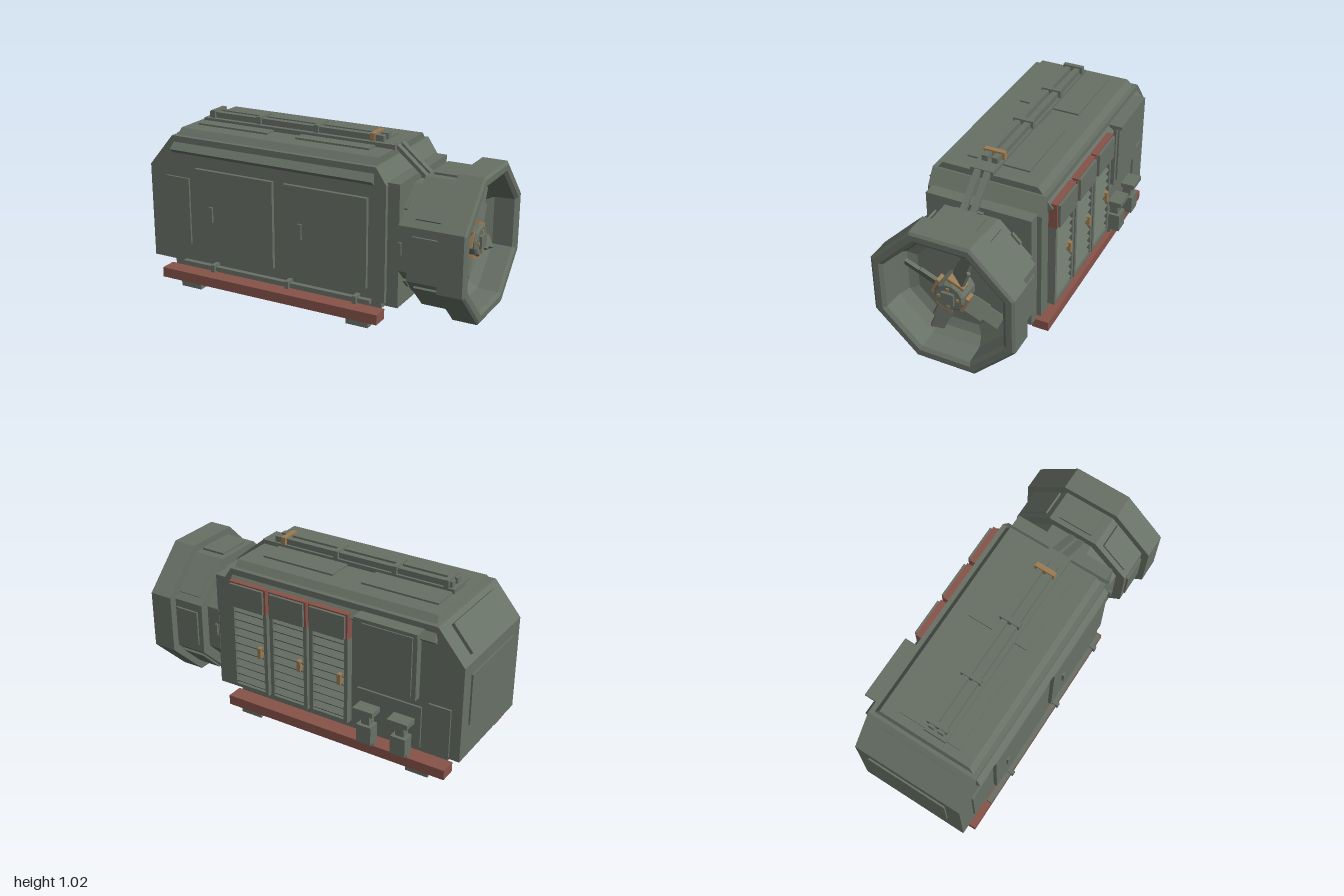
import * as THREE from 'three';

const paint = (name, color) => {
  const m = new THREE.MeshStandardMaterial({ color });
  m.name = name;
  return m;
};

export function createModel() {
  const model = new THREE.Group();
  model.name = 'generator';
  const grey = paint('greyGreenPaint', 0x687166);
  const red = paint('rustRedPaint', 0x87534a);
  const tan = paint('tanFittings', 0x9a7b52);
  const CZ = 0.012; // middle plane of the housing

  const add = (name, geo, mat = grey, parent = model) => {
    const m = new THREE.Mesh(geo, mat);
    m.name = name;
    parent.add(m);
    return m;
  };
  // box given by its limits on each axis
  const box = (name, x0, x1, y0, y1, z0, z1, mat = grey, parent = model) => {
    const m = add(name, new THREE.BoxGeometry(x1 - x0, y1 - y0, z1 - z0), mat, parent);
    m.position.set((x0 + x1) / 2, (y0 + y1) / 2, (z0 + z1) / 2);
    return m;
  };
  const extrude = (pts, depth) => new THREE.ExtrudeGeometry(
    new THREE.Shape(pts.map(p => new THREE.Vector2(...p))), { depth, bevelEnabled: false });

  // housing: side profile with a sloped left end
  add('housing', extrude([[-0.99, 0.167], [0.52, 0.167], [0.52, 0.83], [0.46, 0.92],
    [-0.83, 0.92], [-0.99, 0.73]], 0.666)).position.z = CZ - 0.333;

  // roof: cross-section with sloped sides and tucked-in eaves
  const roofGeo = extrude([[-0.333, 0.82], [0.333, 0.82], [0.363, 0.845], [0.278, 0.957],
    [-0.278, 0.957], [-0.363, 0.845]], 1.28);
  roofGeo.rotateY(Math.PI / 2);
  const rp = roofGeo.attributes.position;
  for (let i = 0; i < rp.count; i++) {
    const x = rp.getX(i) - 0.83;
    rp.setX(i, x < -0.8 && rp.getY(i) > 0.9 ? x + 0.03 : x);
  }
  roofGeo.computeVertexNormals();
  add('roof', roofGeo).position.z = CZ;
  for (const [a, b] of [[-0.75, -0.29], [-0.11, 0.345]])
    box('roofPanel', a, b, 0.95, 0.967, -0.17, 0.195);

  // conduit tray, pipes and clamps on the roof
  box('conduitTray', -0.76, 0.46, 0.955, 0.982, -0.015, 0.12);
  for (const z of [0.017, 0.075]) {
    box('roofPipe', -0.74, 0.38, 0.982, 1.015, z - 0.018, z + 0.018);
    const strap = add('cableDrop', new THREE.BoxGeometry(0.28, 0.02, 0.036));
    strap.position.set(0.555, 0.885, z);
    strap.rotation.z = -0.7;
  }
  for (const x of [-0.71, -0.4, -0.03, 0.317])
    box('pipeClamp', x - 0.014, x + 0.014, 0.98, 1.025, -0.017, 0.105, x > 0.3 ? tan : grey);

  // left end panels
  box('endPanel', -1, -0.98, 0.36, 0.66, -0.24, 0.25);
  const slope = add('slopePanel', new THREE.BoxGeometry(0.18, 0.03, 0.46));
  slope.position.set(-0.912, 0.83, CZ);
  slope.rotation.z = Math.atan2(0.19, 0.16);

  // front doors with handles
  box('sidePanel', -0.88, -0.72, 0.28, 0.68, 0.34, 0.357);
  for (const [a, b, h] of [[-0.67, -0.16, -0.562], [-0.09, 0.42, 0.017]]) {
    box('door', a, b, 0.24, 0.75, 0.34, 0.367);
    box('doorHandle', h - 0.011, h + 0.011, 0.45, 0.54, 0.36, 0.38);
  }

  // low pipe along the front
  box('frontPipe', -0.76, 0.45, 0.16, 0.185, 0.355, 0.385);
  for (const x of [-0.545, -0.055, 0.365])
    box('pipeBracket', x - 0.012, x + 0.012, 0.155, 0.198, 0.34, 0.4);

  // base: skirt, rails, cross beams and feet
  box('skirt', -0.89, 0.47, 0.1, 0.17, -0.25, 0.28);
  for (const [a, b] of [[-0.89, -0.21], [-0.19, 0.47]])
    box('bellyPanel', a + 0.08, b - 0.08, 0.094, 0.105, -0.2, 0.22);
  for (const s of [-1, 1]) {
    const inner = CZ + s * 0.266, outer = CZ + s * 0.363;
    box('rail', -0.92, 0.49, 0.045, 0.104, Math.min(inner, outer), Math.max(inner, outer), red);
    for (const x of [-0.74, 0.355])
      box('foot', x - 0.068, x + 0.068, 0, 0.06, CZ + s * 0.28 - 0.053, CZ + s * 0.28 + 0.053);
  }
  for (const x of [-0.74, 0.355]) box('crossBeam', x - 0.045, x + 0.045, 0.035, 0.075, -0.25, 0.28);

  // rear louvre bays with red hoods
  for (const x of [-0.207, 0.053, 0.317]) {
    const a = x - 0.122, b = x + 0.122;
    box('louvreHood', a, b, 0.72, 0.87, -0.37, -0.3, red);
    box('hoodFace', a + 0.012, b - 0.012, 0.725, 0.862, -0.385, -0.36);
    box('louvreBacking', a, b, 0.21, 0.72, -0.328, -0.31);
    box('louvrePost', a, a + 0.022, 0.21, 0.72, -0.365, -0.31);
    box('louvrePost', b - 0.022, b, 0.21, 0.72, -0.365, -0.31);
    box('louvreSill', a, b, 0.2, 0.22, -0.365, -0.31);
    for (let i = 0; i < 10; i++) {
      const slat = box('louvreSlat', a + 0.02, b - 0.02, 0.242 + i * 0.05, 0.254 + i * 0.05, -0.365, -0.315);
      slat.rotation.x = -0.6;
    }
    box('louvreLatch', a + 0.04, a + 0.062, 0.435, 0.5, -0.375, -0.33, tan);
  }

  // rear cabinet, lower panels and valves
  box('rearCabinet', -0.74, -0.39, 0.48, 0.87, -0.365, -0.31);
  box('cabinetCover', -0.715, -0.415, 0.505, 0.85, -0.375, -0.35);
  box('cabinetCap', -0.755, -0.38, 0.87, 0.89, -0.4, -0.31);
  box('valvePanel', -0.76, -0.37, 0.18, 0.43, -0.333, -0.31);
  box('cornerPanel', -0.93, -0.8, 0.18, 0.47, -0.333, -0.31);
  for (const x of [-0.455, -0.665]) {
    box('valvePipe', x - 0.03, x + 0.03, 0.1, 0.19, -0.345, -0.31);
    box('valveBody', x - 0.045, x + 0.045, 0.14, 0.25, -0.405, -0.33);
    box('valveStem', x - 0.025, x + 0.025, 0.24, 0.33, -0.385, -0.335);
    box('valveWheel', x - 0.062, x + 0.062, 0.325, 0.355, -0.418, -0.335);
  }

  // adapter plate between the housing and the fan
  box('adapterPlate', 0.51, 0.587, 0.145, 0.84, -0.295, 0.32);

  // fan unit, built around its own axis
  const fan = new THREE.Group();
  fan.name = 'fanUnit';
  fan.position.set(0, 0.49, CZ);
  model.add(fan);
  // faceted turned shape along x from [distance to flat side, x] pairs
  const turned = (pts, sides) => {
    const k = 1 / Math.cos(Math.PI / sides);
    const g = new THREE.LatheGeometry(pts.map(([r, x]) => new THREE.Vector2(r * k, x)),
      sides, Math.PI / sides).rotateZ(-Math.PI / 2).toNonIndexed();
    g.computeVertexNormals();
    return g;
  };
  add('cowling', turned([[0, 0.58], [0.31, 0.58], [0.31, 0.66], [0.365, 0.66], [0.365, 0.85],
    [0.41, 0.85], [0.41, 0.99], [0.395, 1], [0.362, 1], [0.342, 0.985], [0.335, 0.87],
    [0.3, 0.82], [0.25, 0.8], [0, 0.8]], 8), grey, fan);
  for (let i = 0; i < 8; i++) {
    const side = new THREE.Group();
    side.name = 'cowlingSide';
    side.rotation.x = i * Math.PI / 4;
    fan.add(side);
    box('cowlingPanel', 0.69, 0.84, 0.355, 0.377, -0.105, 0.105, grey, side);
    box('neckLug', 0.587, 0.605, 0.3, 0.325, -0.035, 0.035, grey, side);
  }
  add('hub', turned([[0, 0.79], [0.085, 0.79], [0.085, 0.92], [0.075, 0.93], [0, 0.93]], 12), grey, fan);
  box('hubCap', 0.92, 0.945, -0.036, 0.036, -0.036, 0.036, grey, fan);

  // four pitched blades with clamps and hub bolts
  const bladeGeo = extrude([[-0.045, 0.08], [0.045, 0.08], [0.045, 0.2], [0.03, 0.205],
    [0.03, 0.295], [-0.045, 0.295], [-0.045, 0.205], [-0.052, 0.2], [-0.052, 0.12]], 0.02);
  bladeGeo.translate(0, 0, -0.01).rotateY(Math.PI / 3);
  for (let i = 0; i < 4; i++) {
    const arm = new THREE.Group();
    arm.name = 'bladeArm';
    arm.rotation.x = -Math.PI / 8 + i * Math.PI / 2;
    fan.add(arm);
    add('blade', bladeGeo, grey, arm).position.x = 0.88;
    box('bladeClamp', 0.86, 0.915, 0.08, 0.1, -0.05, 0.05, tan, arm);
    const spoke = new THREE.Group();
    spoke.name = 'hubBoltMount';
    spoke.rotation.x = i * Math.PI / 2;
    fan.add(spoke);
    box('hubBolt', 0.92, 0.938, 0.047, 0.063, -0.008, 0.008, tan, spoke);
  }
  return model;
}
